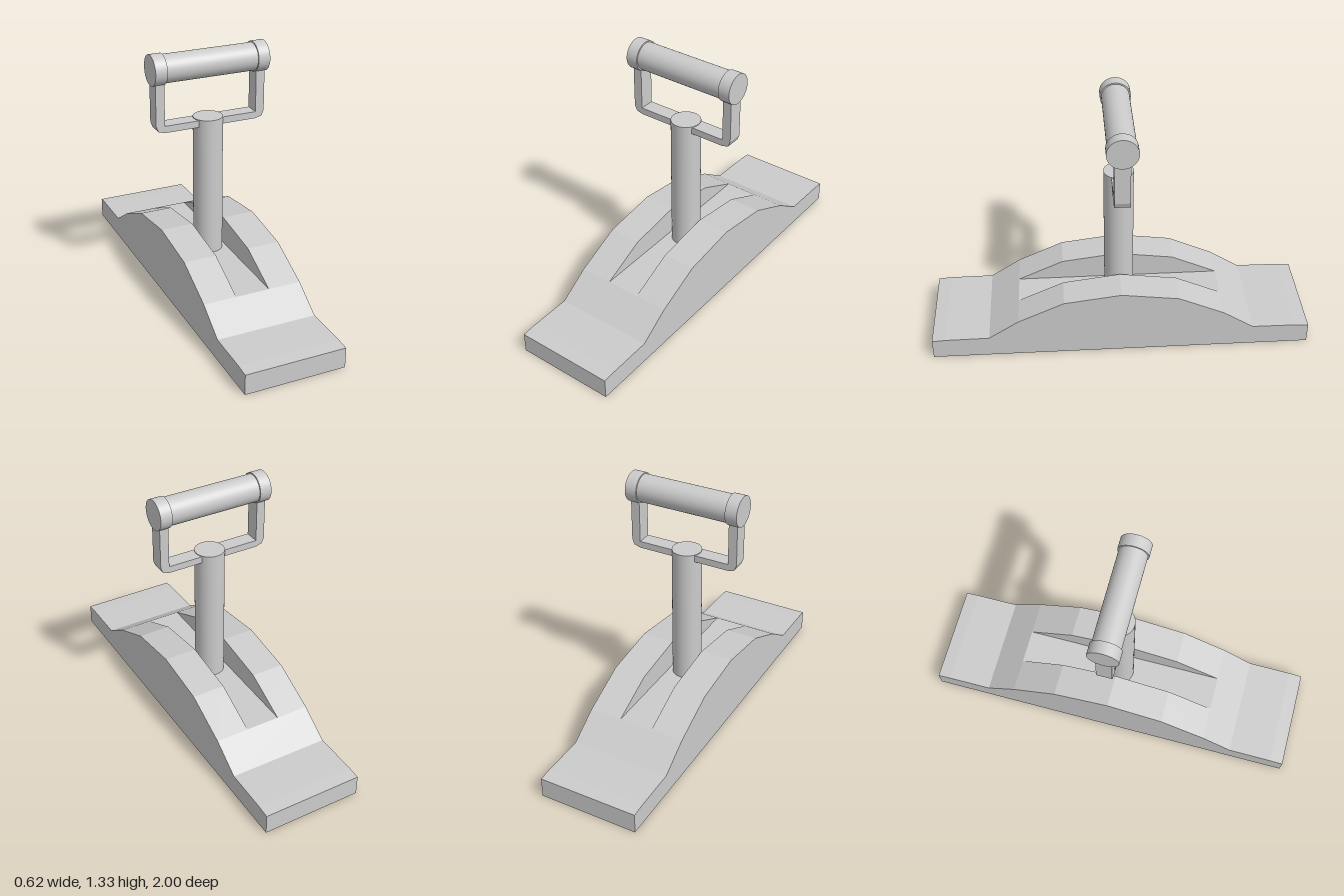
import * as THREE from 'three';

const material = new THREE.MeshStandardMaterial({ color: 0xcccccc });

function addMesh(parent, name, geometry) {
  const mesh = new THREE.Mesh(geometry, material);
  mesh.name = name;
  parent.add(mesh);
  return mesh;
}

// Extrudes an outline symmetrically about its own plane.
function slab(points, depth) {
  const shape = new THREE.Shape(points.map(([x, y]) => new THREE.Vector2(x, y)));
  return new THREE.ExtrudeGeometry(shape, { depth, bevelEnabled: false }).translate(0, 0, -depth / 2);
}

// Mirrors a half outline, listed from the outside inward, to its other side.
const mirrored = (half) => [...half, ...half.filter(([x]) => x > 0).reverse().map(([x, y]) => [-x, y])];

// Extrudes a (z, y) outline along x.
const acrossX = (points, width) => slab(points, width).rotateY(-Math.PI / 2);

// Cylinder lying along x.
const barX = (radius, length) => new THREE.CylinderGeometry(radius, radius, length, 40).rotateZ(Math.PI / 2);

export function createModel() {
  const group = new THREE.Group();
  const halfWidth = 0.264, slotHalf = 0.09, floorY = 0.22, slotEnd = 0.54;

  // Base plate with flat toes, sloping up to the slot floor
  const base = new THREE.Group();
  base.name = 'base';
  group.add(base);
  addMesh(base, 'basePlate', acrossX(
    mirrored([[1, 0], [1, 0.108], [0.93, 0.113], [0.7, 0.115], [slotEnd, floorY]]), halfWidth * 2));

  // Arched rails on both sides of the slot
  const railWidth = halfWidth - slotHalf;
  for (const side of [1, -1]) {
    const rail = addMesh(base, side > 0 ? 'leftRail' : 'rightRail', acrossX(
      mirrored([[slotEnd, floorY], [0.3, 0.33], [0, 0.37]]), railWidth));
    rail.position.x = side * (slotHalf + railWidth / 2);
  }

  // Upright lever post
  const postTop = 0.967;
  addMesh(group, 'post', new THREE.CylinderGeometry(0.077, 0.077, postTop - floorY, 40))
    .position.y = (postTop + floorY) / 2;

  // Handle: brackets, end caps and grip
  const handle = new THREE.Group();
  handle.name = 'handle';
  group.add(handle);
  const arm = [
    [0.05, 0.927], [0.25, 0.927], [0.285, 0.937], [0.297, 0.967],
    [0.297, 1.186], [0.25, 1.186], [0.25, 0.963], [0.05, 0.963],
  ];
  for (const side of [1, -1]) {
    const label = side > 0 ? 'left' : 'right';
    const bracket = addMesh(handle, label + 'Bracket', slab(arm, 0.08));
    if (side < 0) bracket.rotation.y = Math.PI;
    addMesh(handle, label + 'Cap', barX(0.079, 0.063)).position.set(side * 0.2765, 1.249, 0);
  }
  addMesh(handle, 'grip', barX(0.072, 0.5)).position.y = 1.249;

  return group;
}
